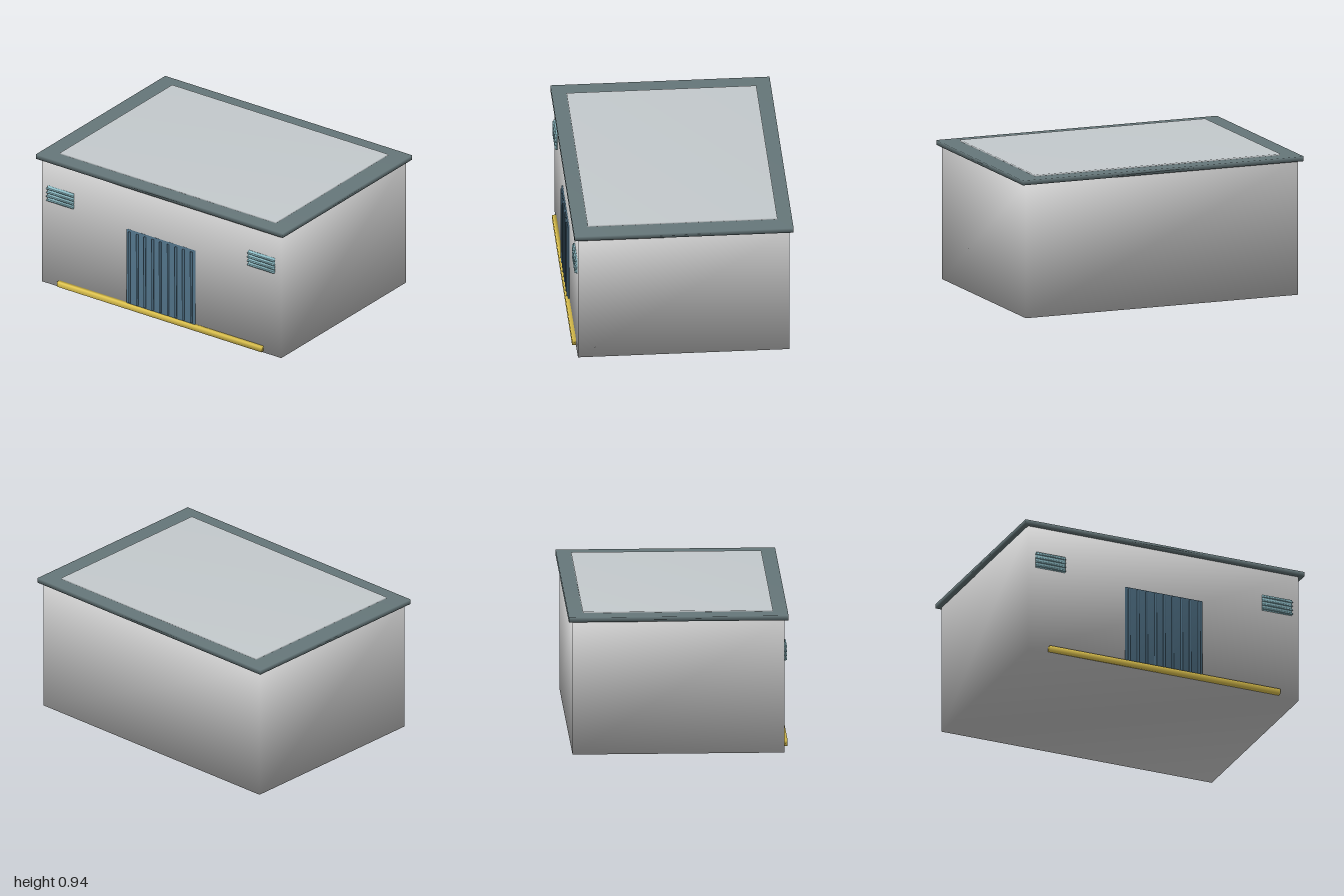
import * as THREE from 'three';
import { mergeVertices } from 'three/addons/utils/BufferGeometryUtils.js';

const material = (color) => new THREE.MeshStandardMaterial({ color });

// Box given by its limits, with shared corners and so blended normals
function box(name, mat, [x0, x1], [y0, y1], [z0, z1]) {
  let geo = new THREE.BoxGeometry(x1 - x0, y1 - y0, z1 - z0);
  geo.deleteAttribute('normal');
  geo.deleteAttribute('uv');
  geo = mergeVertices(geo);
  geo.computeVertexNormals();
  const mesh = new THREE.Mesh(geo, mat);
  mesh.name = name;
  mesh.position.set((x0 + x1) / 2, (y0 + y1) / 2, (z0 + z1) / 2);
  return mesh;
}

export function createModel() {
  const model = new THREE.Group();
  model.name = 'garage';
  const wall = material(0xbfc3c0);
  const roof = material(0xc4cacd);
  const trim = material(0x66777a);
  const steel = material(0x52748a);
  const glass = material(0x9accd6);
  const yellow = material(0xe2c650);

  // Building block, overhanging roof edge and raised roof panel
  model.add(box('walls', wall, [-0.97, 0.97], [0, 0.9], [-0.695, 0.695]));
  model.add(box('roofTrim', trim, [-1, 1], [0.895, 0.927], [-0.72, 0.72]));
  model.add(box('roofPanel', roof, [-0.873, 0.873], [0.92, 0.937], [-0.623, 0.623]));

  // Gate with upright ribs
  const gate = new THREE.Group();
  gate.name = 'gate';
  gate.add(box('gatePanel', steel, [-0.277, 0.277], [0.045, 0.583], [0.685, 0.705]));
  for (let i = -4; i <= 4; i++) {
    const x = i * 0.0625;
    gate.add(box('gateRib', steel, [x - 0.007, x + 0.007], [0.055, 0.572], [0.7, 0.713]));
  }
  model.add(gate);

  // Louvred vents high on both sides of the front
  for (const side of [-1, 1]) {
    const vent = new THREE.Group();
    vent.name = side > 0 ? 'leftVent' : 'rightVent';
    vent.add(box('ventPanel', glass, [-0.105, 0.105], [0.605, 0.714], [0.685, 0.705]));
    for (let i = 0; i < 4; i++) {
      const y = 0.613 + i * 0.028;
      vent.add(box('ventSlat', glass, [-0.108, 0.108], [y - 0.004, y + 0.004], [0.7, 0.713]));
    }
    vent.position.x = side * 0.813;
    model.add(vent);
  }

  // Kerb rail along the foot of the front wall
  model.add(box('kerbRail', yellow, [-0.827, 0.827], [0.012, 0.048], [0.694, 0.722]));
  return model;
}
